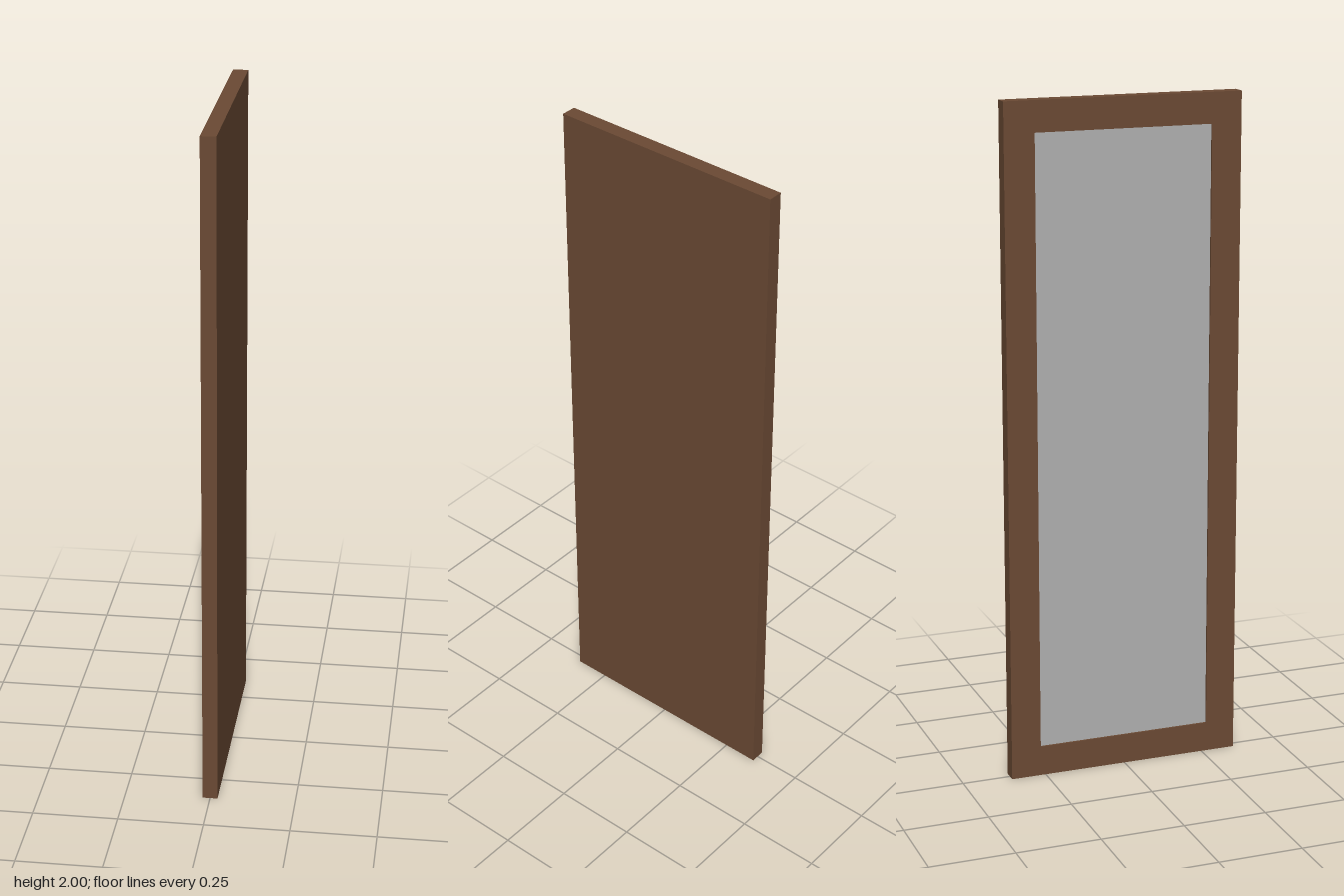
import * as THREE from 'three';

const HEIGHT = 2, WIDTH = 0.71, DEPTH = 0.044;
const BORDER = 0.09, RECESS = 0.008;

export function createModel() {
  const wood = new THREE.MeshStandardMaterial({ color: 0x6b4a34 });
  wood.name = 'brown wood';
  const silver = new THREE.MeshStandardMaterial({ color: 0xb0b0b0 });
  silver.name = 'silver glass';

  const group = new THREE.Group();
  group.name = 'framedMirror';
  const add = (name, geometry, material, x) => {
    const mesh = new THREE.Mesh(geometry, material);
    mesh.name = name;
    mesh.position.set(x, HEIGHT / 2, 0);
    group.add(mesh);
  };

  // Centred rectangle outline
  const rectangle = (path, w, h) => path
    .moveTo(-w / 2, -h / 2).lineTo(w / 2, -h / 2)
    .lineTo(w / 2, h / 2).lineTo(-w / 2, h / 2).closePath();
  const innerW = WIDTH - 2 * BORDER, innerH = HEIGHT - 2 * BORDER;
  const seam = -DEPTH / 2 + RECESS;

  // Solid panel on the +x side
  add('backPanel', new THREE.BoxGeometry(DEPTH - RECESS, HEIGHT, WIDTH), wood, RECESS / 2);

  // Raised border around the glass, facing -x
  const outline = rectangle(new THREE.Shape(), WIDTH, HEIGHT);
  outline.holes.push(rectangle(new THREE.Path(), innerW, innerH));
  const border = new THREE.ExtrudeGeometry(outline, { depth: RECESS, bevelEnabled: false });
  border.rotateY(-Math.PI / 2);
  add('frameBorder', border, wood, seam);

  // Thin recessed glass
  add('mirrorGlass', new THREE.BoxGeometry(0.002, innerH, innerW), silver, seam - 0.001);

  return group;
}

// Path methods return the path itself, but closePath is kept chainable for Shape and Path
